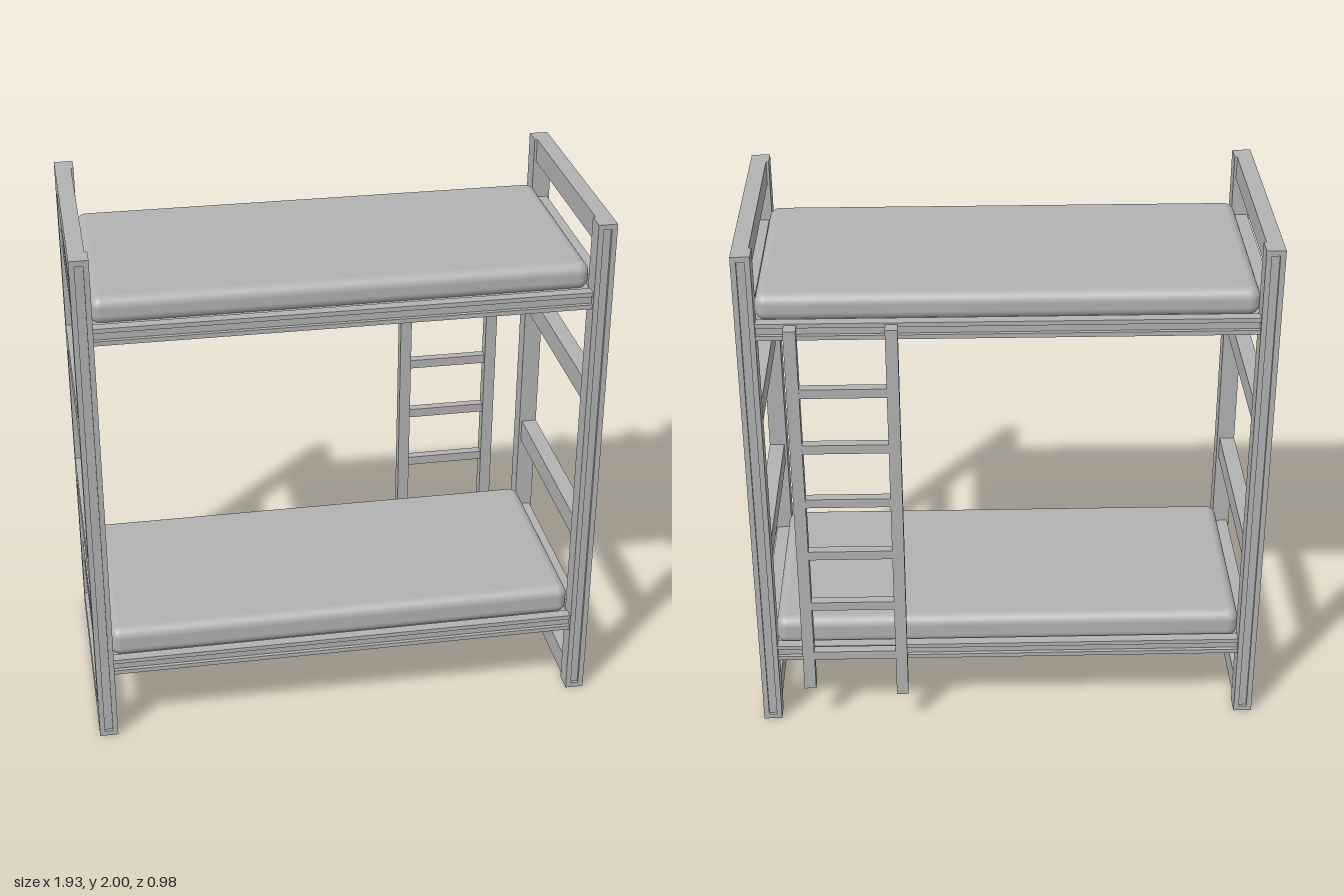
import * as THREE from 'three';
import { RoundedBoxGeometry } from 'three/addons/geometries/RoundedBoxGeometry.js';

export function createModel() {
  const model = new THREE.Group();
  model.name = 'bunkBed';
  const grey = new THREE.MeshStandardMaterial({ color: 0xb2b2b2 });
  grey.name = 'plain grey';

  const add = (name, geometry, parent = model) => {
    const mesh = new THREE.Mesh(geometry, grey);
    mesh.name = name;
    parent.add(mesh);
    return mesh;
  };

  // Box given by its lower and upper limits on each axis
  const box = (name, [x0, x1], [y0, y1], [z0, z1], parent) =>
    add(name, new THREE.BoxGeometry(x1 - x0, y1 - y0, z1 - z0)
      .translate((x0 + x1) / 2, (y0 + y1) / 2, (z0 + z1) / 2), parent);

  // Bar along z, centred on the origin: width in x, height in y, groove in its +x face
  const groovedBar = (length, width, height, lip, depth) => {
    const w = width / 2, h = height / 2;
    const section = new THREE.Shape([
      [-w, -h], [w, -h], [w, -h + lip], [w - depth, -h + lip],
      [w - depth, h - lip], [w, h - lip], [w, h], [-w, h],
    ].map(([x, y]) => new THREE.Vector2(x, y)));
    return new THREE.ExtrudeGeometry(section, { depth: length, bevelEnabled: false })
      .translate(0, 0, -length / 2);
  };

  // End frames: two grooved posts joined by four cross rails
  for (const side of [-1, 1]) {
    const frame = new THREE.Group();
    frame.name = side > 0 ? 'leftEndFrame' : 'rightEndFrame';
    model.add(frame);
    for (const [z, face] of [[0.4525, 1], [-0.4125, -1]]) {
      // Stand the bar upright, with its groove facing outward along z
      const g = groovedBar(1.96, 0.075, 0.07, 0.02, 0.012)
        .rotateX(Math.PI / 2).rotateY(-face * Math.PI / 2);
      g.translate(side * 0.93, 1, z);
      add('post', g, frame);
      for (const y of [0.01, 1.99]) {
        add('postCap', new THREE.BoxGeometry(0.07, 0.02, 0.075)
          .translate(side * 0.93, y, z), frame);
      }
    }
    for (const y of [0.0475, 0.705, 1.305, 1.955]) {
      add('crossRail', new THREE.BoxGeometry(0.06, y < 0.1 ? 0.095 : 0.09, 0.79)
        .translate(side * 0.935, y, 0.02), frame);
    }
  }

  // Bunks: side rails, end rails, board and mattress
  const bunks = [
    { name: 'lowerBunk', rail: [0.275, 0.34], end: [0.245, 0.345], board: 0.3, top: 0.43 },
    { name: 'upperBunk', rail: [1.67, 1.735], end: [1.67, 1.76], board: 1.705, top: 1.82 },
  ];
  for (const { name, rail, end, board, top } of bunks) {
    const bunk = new THREE.Group();
    bunk.name = name;
    model.add(bunk);
    for (const [z, face] of [[0.46, 1], [-0.42, -1]]) {
      const g = groovedBar(1.79, 0.04, rail[1] - rail[0], 0.017, 0.015)
        .rotateY(-face * Math.PI / 2);
      g.translate(0, (rail[0] + rail[1]) / 2, z);
      add('sideRail', g, bunk);
    }
    for (const side of [-1, 1]) {
      const g = groovedBar(0.79, 0.05, end[1] - end[0], 0.02, 0.02);
      if (side < 0) g.rotateY(Math.PI);
      g.translate(side * 0.932, (end[0] + end[1]) / 2, 0.02);
      add('endRail', g, bunk);
    }
    box('board', [-0.9, 0.9], [board, board + 0.02], [-0.4, 0.425], bunk);
    const height = top - board - 0.01;
    add('mattress', new RoundedBoxGeometry(1.8, height, 0.815, 5, 0.04)
      .translate(0, top - height / 2, 0.015), bunk);
  }

  // Slats under the upper bunk
  for (let i = 0; i < 8; i++) {
    const x = -0.82 + i * 0.2345;
    box('slat', [x - 0.02, x + 0.02], [1.68, 1.705], [-0.4, 0.44]);
  }

  // Ladder on the back
  const ladder = new THREE.Group();
  ladder.name = 'ladder';
  model.add(ladder);
  box('ladderRail', [0.392, 0.437], [0.14, 1.73], [-0.49, -0.442], ladder);
  box('ladderRail', [0.75, 0.795], [0.175, 1.73], [-0.49, -0.442], ladder);
  for (let i = 0; i < 6; i++) {
    const y = 0.328 + i * 0.23;
    box('rung', [0.437, 0.75], [y - 0.018, y + 0.018], [-0.488, -0.452], ladder);
  }

  return model;
}
